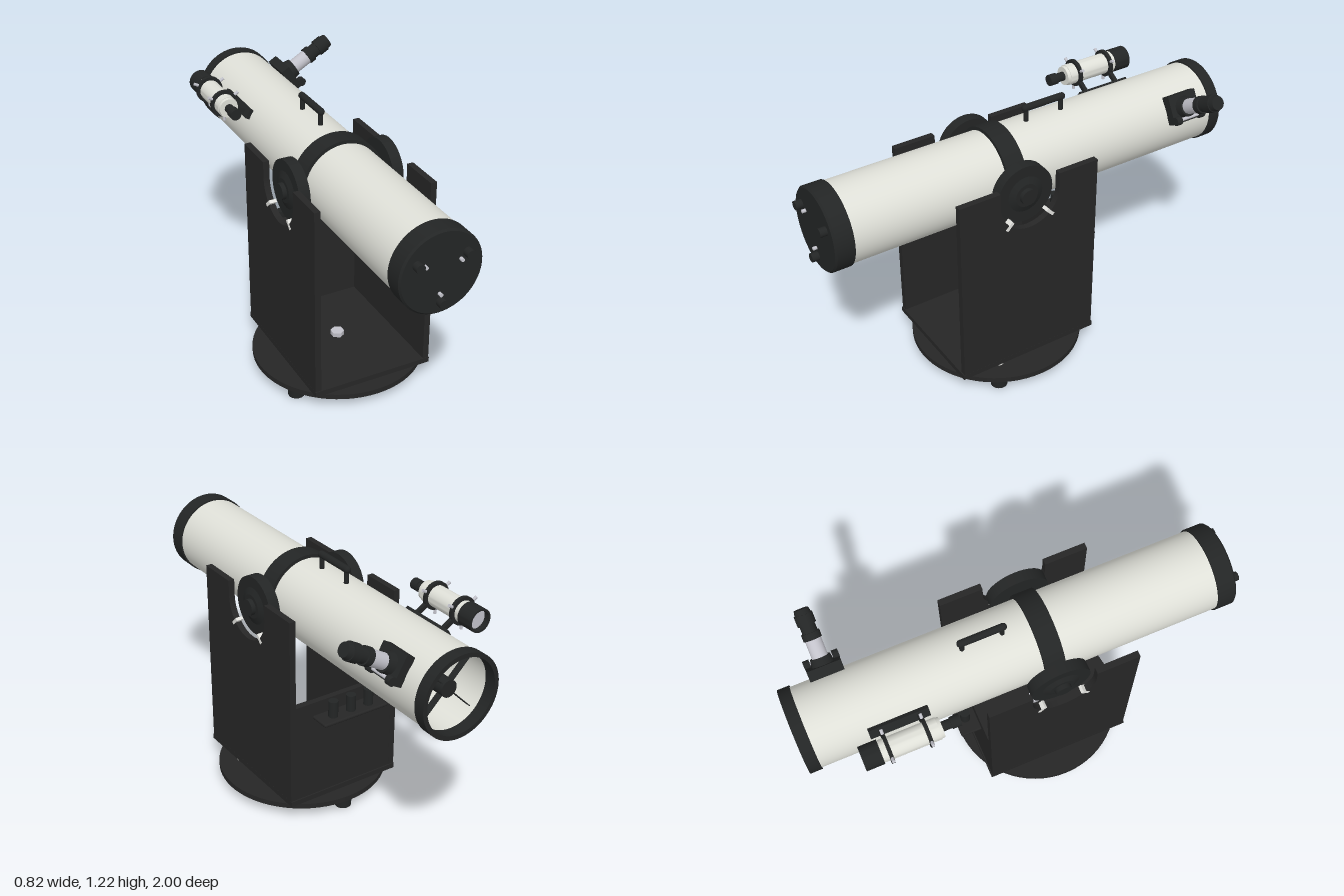
import * as THREE from 'three';
import { RoundedBoxGeometry } from 'three/addons/geometries/RoundedBoxGeometry.js';
import { toCreasedNormals } from 'three/addons/utils/BufferGeometryUtils.js';

const mat = (name, color, side = THREE.FrontSide) => {
  const m = new THREE.MeshStandardMaterial({ color, side });
  m.name = name;
  return m;
};

export function createModel() {
  const board = mat('black board', 0x262626);
  const black = mat('black plastic', 0x232525);
  const cream = mat('cream tube paint', 0xdfe0d8);
  const chrome = mat('chrome', 0xc2c2ca);
  const white = mat('white pad', 0xe2e2de);

  const CX = -0.015, CY = 0.957, CZ = 0.112; // tube axis and pivot
  const model = new THREE.Group();
  model.name = 'telescope';

  const group = (name, parent, x = 0, y = 0, z = 0) => {
    const g = new THREE.Group();
    g.name = name;
    g.position.set(x, y, z);
    parent.add(g);
    return g;
  };
  const add = (name, parent, geo, material, x = 0, y = 0, z = 0) => {
    const m = new THREE.Mesh(geo, material);
    m.name = name;
    m.position.set(x, y, z);
    parent.add(m);
    return m;
  };
  // Cylinder running from a to b along the chosen axis
  const cyl = (axis, r0, r1, a, b, seg = 32) => {
    const g = new THREE.CylinderGeometry(r1, r0, b - a, seg);
    g.translate(0, (a + b) / 2, 0);
    if (axis === 'x') g.rotateZ(-Math.PI / 2);
    if (axis === 'z') g.rotateX(Math.PI / 2);
    return g;
  };
  // Solid of revolution about z from [radius, z] points
  const turned = (pts, seg = 64) => {
    const g = new THREE.LatheGeometry(pts.map(p => new THREE.Vector2(p[0], p[1])), seg);
    g.rotateX(Math.PI / 2);
    return toCreasedNormals(g, 0.6);
  };
  const ring = (ro, ri, a, b, seg) => turned([[ri, a], [ro, a], [ro, b], [ri, b], [ri, a]], seg);
  const box = (w, h, d) => new THREE.BoxGeometry(w, h, d);

  // ---- Rocker base ----
  const base = group('base', model, CX, 0, CZ);
  add('groundBoard', base, cyl('y', 0.398, 0.398, 0.053, 0.078, 64), board);
  for (let i = 0; i < 3; i++) {
    const a = -Math.PI / 2 + i * Math.PI * 2 / 3;
    const c = Math.cos(a), s = Math.sin(a);
    add('foot', base, cyl('y', 0.038, 0.041, 0, 0.053), black, c * 0.343, 0, s * 0.343);
    add('glidePad', base, cyl('y', 0.024, 0.024, 0.077, 0.099, 24), white, c * 0.29, 0, s * 0.29);
  }
  add('rockerFloor', base, box(0.576, 0.025, 0.7), board, 0, 0.111, 0);
  add('pivotBolt', base, cyl('y', 0.032, 0.032, 0.123, 0.145, 6), chrome);
  add('backPanel', base, box(0.52, 0.48, 0.028), board, 0, 0.363, -0.33);

  // Side boards with a round cradle cut into the top
  const H = 0.345, top = 1.03, R = 0.147;
  const outline = new THREE.Shape();
  outline.moveTo(-H, 0.123);
  outline.lineTo(H, 0.123);
  outline.lineTo(H, top);
  outline.lineTo(R, top);
  outline.lineTo(R, CY);
  outline.absarc(0, CY, R, 0, -Math.PI, true);
  outline.lineTo(-R, top);
  outline.lineTo(-H, top);
  const sideGeo = new THREE.ExtrudeGeometry(outline, { depth: 0.029, bevelEnabled: false, curveSegments: 32 });
  sideGeo.translate(0, 0, -0.0145);
  sideGeo.rotateY(-Math.PI / 2);
  for (const s of [-1, 1]) {
    add('sideBoard', base, sideGeo, board, s * 0.273, 0, 0);
    for (const t of [-1, 1]) {
      const pad = add('bearingPad', base, box(0.034, 0.045, 0.015), white,
        s * 0.273, CY - 0.108, t * 0.102);
      pad.rotation.x = -t * Math.PI / 4;
    }
  }

  // Eyepiece rack
  const rack = group('eyepieceRack', base, 0, 0, -0.39);
  const tray = new RoundedBoxGeometry(0.34, 0.1, 0.016, 3, 0.007);
  tray.rotateX(Math.PI / 2);
  add('rackShelf', rack, tray, board, 0, 0.53, 0);
  for (const x of [-0.095, 0, 0.095])
    add('spareEyepiece', rack, cyl('y', 0.022, 0.022, 0.535, 0.616, 24), black, x, 0, -0.003);

  // ---- Optical tube ----
  const tube = group('opticalTube', model, CX, CY, 0);
  add('mainTube', tube, ring(0.181, 0.175, -0.96, 0.9), cream);
  add('frontRing', tube, ring(0.188, 0.168, -1, -0.946), black);
  add('rearCell', tube, turned([[0, 0.88], [0.188, 0.88], [0.188, 0.96], [0.18, 0.968], [0, 0.968]]), black);
  add('primaryMirror', tube, cyl('z', 0.165, 0.165, 0.83, 0.875, 48), chrome);
  add('centreBand', tube, ring(0.197, 0.18, CZ - 0.047, CZ + 0.047), black);
  for (let i = 0; i < 3; i++) {
    const a = Math.PI / 6 + i * Math.PI * 2 / 3, b = a - 0.06;
    add('collimationKnob', tube, cyl('z', 0.02, 0.02, 0.96, 1, 20), black, Math.cos(a) * 0.13, Math.sin(a) * 0.13);
    add('lockScrew', tube, cyl('z', 0.008, 0.008, 0.96, 0.985, 12), chrome, Math.cos(b) * 0.093, Math.sin(b) * 0.093);
  }

  // Altitude wheels
  for (const s of [-1, 1]) {
    const w = group('altitudeWheel', tube, 0, 0, CZ);
    w.rotation.y = s > 0 ? 0 : Math.PI;
    add('wheelDisc', w, cyl('x', 0.136, 0.136, 0.199, 0.25, 48), black);
    add('wheelCone', w, cyl('x', 0.085, 0.055, 0.25, 0.262), black);
    add('wheelHub', w, cyl('x', 0.037, 0.037, 0.262, 0.282), black);
  }

  // Secondary mirror and its four vanes
  const spider = group('secondarySpider', tube, 0, 0, -0.9);
  for (let i = 0; i < 4; i++) {
    const a = Math.PI / 4 + i * Math.PI / 2;
    const v = add('vane', spider, box(0.15, 0.004, 0.03), black, Math.cos(a) * 0.1, Math.sin(a) * 0.1, 0);
    v.rotation.z = a;
  }
  add('secondaryHolder', spider, cyl('z', 0.038, 0.038, -0.025, 0.07), black);
  const flat = add('secondaryMirror', spider, cyl('y', 0.042, 0.042, -0.004, 0.004), chrome, 0, 0, 0.107);
  flat.rotation.set(Math.PI / 2, 0, 0);
  flat.rotateZ(-Math.PI / 4);
  add('mirrorStalk', spider, cyl('z', 0.014, 0.014, 0.07, 0.107, 16), black);

  // Focuser, local x pointing out of the tube
  const focuser = group('focuser', tube, 0, 0, -0.783);
  focuser.rotation.z = Math.PI / 6;
  add('focuserPlate', focuser, box(0.045, 0.13, 0.15), black, 0.2, 0, 0);
  add('focuserBody', focuser, cyl('x', 0.05, 0.044, 0.22, 0.255), black);
  add('drawTube', focuser, cyl('x', 0.035, 0.035, 0.2, 0.345), chrome);
  add('drawCollar', focuser, cyl('x', 0.04, 0.04, 0.335, 0.365), black);
  add('eyepieceBarrel', focuser, cyl('x', 0.033, 0.033, 0.365, 0.405), black);
  add('eyepieceGrip', focuser, cyl('x', 0.04, 0.04, 0.4, 0.445), black);
  add('eyecup', focuser, cyl('x', 0.036, 0.031, 0.445, 0.468), black);
  add('focusShaft', focuser, cyl('z', 0.008, 0.008, -0.07, 0.07, 12), chrome, 0.235, -0.05, 0);
  for (const s of [-1, 1])
    add('focusKnob', focuser, cyl('z', 0.02, 0.02, -0.014, 0.014, 20), black, 0.235, -0.05, s * 0.064);

  // Finder scope
  const FX = -0.271, FY = 0.156;
  const finder = group('finderScope', tube, FX, FY, 0);
  add('finderBody', finder, ring(0.048, 0.042, -0.72, -0.45, 40), cream);
  add('finderRearCone', finder, cyl('z', 0.047, 0.044, -0.46, -0.435), cream);
  add('dewCap', finder, ring(0.053, 0.044, -0.78, -0.7, 40), black);
  add('finderLens', finder, cyl('z', 0.044, 0.044, -0.755, -0.74), chrome);
  add('finderEyepiece', finder, cyl('z', 0.021, 0.021, -0.44, -0.385, 24), black);
  add('finderEyecup', finder, cyl('z', 0.026, 0.026, -0.395, -0.355, 24), black);
  const bracket = group('finderBracket', tube);
  bracket.rotation.z = Math.PI * 5 / 6;
  add('bracketFoot', bracket, box(0.022, 0.045, 0.265), black, 0.188, 0, -0.583);
  for (const z of [-0.667, -0.497]) {
    add('finderRing', finder, ring(0.063, 0.047, z - 0.008, z + 0.008, 40), black);
    add('bracketArm', bracket, box(0.07, 0.02, 0.018), black, 0.225, 0, z);
    for (const a of [30, 150, 270]) {
      const g = cyl('x', 0.007, 0.007, 0.046, 0.084, 12);
      add('finderScrew', finder, g, chrome, 0, 0, z).rotation.z = a * Math.PI / 180;
    }
  }

  // Carry handle
  const handle = group('carryHandle', tube, 0, 0, -0.143);
  const grip = new THREE.CapsuleGeometry(0.016, 0.19, 6, 16);
  grip.rotateX(Math.PI / 2);
  add('handleGrip', handle, grip, black, 0, 0.245, 0);
  for (const s of [-1, 1])
    add('handlePost', handle, cyl('y', 0.011, 0.011, 0.178, 0.245, 16), black, 0, 0, s * 0.09);

  return model;
}
